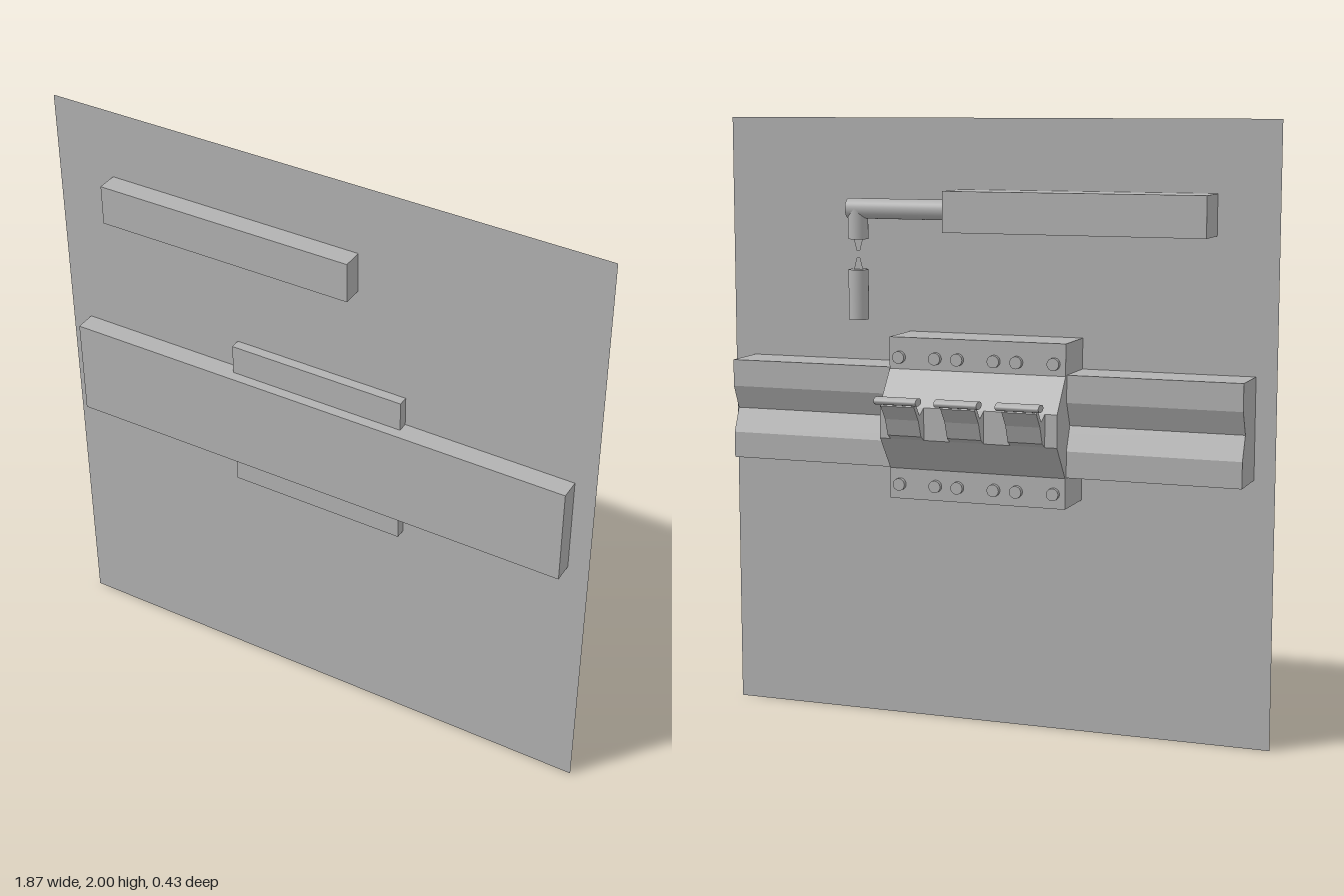
import * as THREE from 'three';

export function createModel() {
  const group = new THREE.Group();
  const grey = new THREE.MeshStandardMaterial({ color: 0xb2b2b2 });
  grey.name = 'grey';
  const greySheet = grey.clone();
  greySheet.side = THREE.DoubleSide;

  const add = (name, geometry, x = 0, y = 0, z = 0, material = grey) => {
    const mesh = new THREE.Mesh(geometry, material);
    mesh.name = name;
    mesh.position.set(x, y, z);
    group.add(mesh);
    return mesh;
  };

  // Box given by its limits on each axis
  const box = (name, [x0, x1], [y0, y1], [z0, z1]) =>
    add(name, new THREE.BoxGeometry(x1 - x0, y1 - y0, z1 - z0),
      (x0 + x1) / 2, (y0 + y1) / 2, (z0 + z1) / 2);

  // Side profile of [z, y] points, extruded along x
  const profile = (name, points, x0, x1) => {
    const shape = new THREE.Shape(points.map(([z, y]) => new THREE.Vector2(-z, y)));
    const geometry = new THREE.ExtrudeGeometry(shape, { depth: x1 - x0, bevelEnabled: false });
    geometry.rotateY(Math.PI / 2);
    return add(name, geometry, x0);
  };

  // Thin mounting panel
  add('panel', new THREE.PlaneGeometry(1.87, 2), 0, 1, 0.15, greySheet);

  // Rail with a shallow groove along its back
  profile('rail', [
    [0.217, 0.875], [0.217, 1.203], [-0.014, 1.203], [-0.014, 1.115],
    [0.02, 1.038], [-0.014, 0.96], [-0.014, 0.875],
  ], -0.867, 0.865);

  // Switch body with a sloped raised middle
  profile('switchBody', [
    [0.183, 0.775], [0.183, 1.303], [-0.026, 1.303], [-0.026, 1.2],
    [-0.11, 1.09], [-0.11, 0.985], [-0.026, 0.875], [-0.026, 0.775],
  ], -0.3, 0.297);

  // Three toggles, each a nub with a stalk and an oval grip
  for (const x of [-0.203, 0, 0.203]) {
    profile('toggleNub', [
      [-0.1, 1.09], [-0.11, 1.09], [-0.146, 1.07], [-0.178, 1.112], [-0.193, 1.102],
      [-0.157, 1.055], [-0.135, 1.0], [-0.11, 0.985], [-0.1, 0.985],
    ], x - 0.057, x + 0.057);
    const grip = new THREE.CylinderGeometry(0.025, 0.025, 0.142, 24);
    grip.rotateZ(Math.PI / 2);
    grip.scale(1, 0.5, 1);
    add('toggleGrip', grip, x, 1.119, -0.192);
  }

  // Terminal screws above and below the toggles
  const screw = new THREE.CylinderGeometry(0.02, 0.02, 0.024, 24).rotateX(Math.PI / 2);
  for (const y of [1.238, 0.823]) {
    for (const x of [-0.262, -0.138, -0.062, 0.062, 0.138, 0.262]) add('screw', screw, x, y, -0.03);
  }

  // Upper housing with an arm that turns down at its end
  box('housing', [-0.735, 0.13], [1.638, 1.77], [0.015, 0.217]);
  const r = 0.033, z = 0.115, tipX = 0.465;
  add('arm', new THREE.CylinderGeometry(r, r, 0.368, 32).rotateZ(Math.PI / 2), 0.314, 1.705, z);
  add('armTip', new THREE.CylinderGeometry(r, r, 0.1, 32), tipX, 1.655, z);
  add('lowerPin', new THREE.CylinderGeometry(r, r, 0.165, 32), tipX, 1.4225, z);

  // Flat pointed contacts facing each other across the gap
  for (const [y, s] of [[1.605, -1], [1.505, 1]]) {
    const contact = new THREE.Shape([[-0.016, 0], [0.016, 0], [0.006, s * 0.038], [-0.006, s * 0.038]]
      .map(([a, b]) => new THREE.Vector2(a, b)));
    add('contact', new THREE.ShapeGeometry(contact), tipX, y, z, greySheet);
  }

  return group;
}
